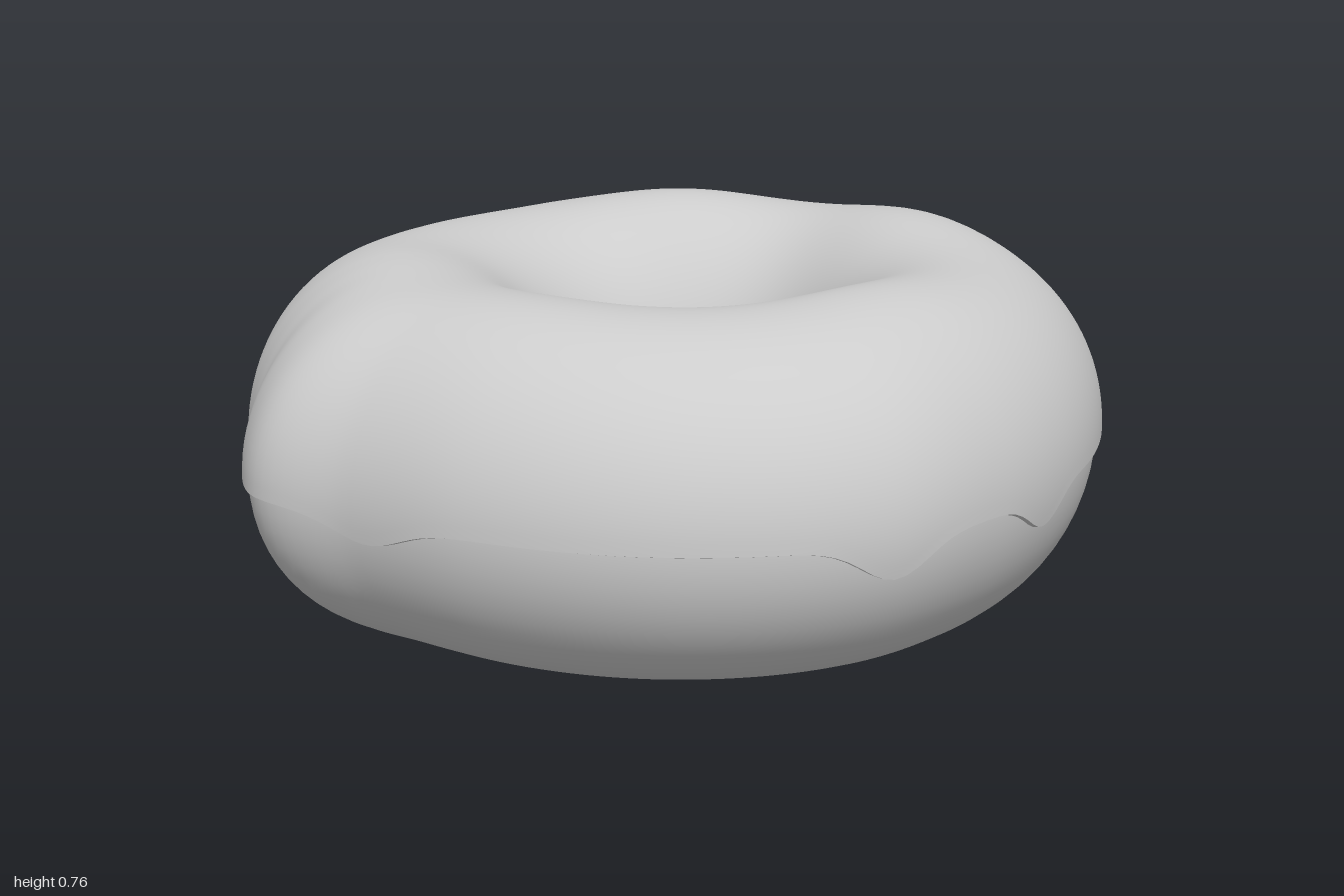
import * as THREE from 'three';

const SEG = 240;
const TAU = Math.PI * 2;
const RING = 0.585; // radius of the tube's centre line
const HALF = 0.355; // half the dough height
const LAYER = 0.012; // icing thickness

// Lumpy outlines as [degrees from +x towards +z, radius]
const OUTER = [[0, .94], [17, .97], [42, .96], [68, .94], [85, .945], [97, 1.007], [105, .98], [114, .925],
  [136, .916], [156, .92], [175, .93], [188, .94], [197, .98], [203, .986], [221, .94], [241, .93],
  [258, .955], [268, .996], [284, .966], [302, .95], [324, .922], [345, .924]];
const HOLE = [[0, .25], [27, .22], [59, .192], [90, .187], [113, .205], [135, .213], [180, .235],
  [225, .25], [270, .27], [315, .265]];

// Icing drips: [degrees, depth, width in degrees]
const DRIPS = [[18, .07, 4], [82, .05, 5], [123, .145, 3], [145, .05, 4], [200, .06, 5], [235, .05, 5],
  [268, .03, 5], [306, .06, 4.5], [351, .065, 4]];
// Swells on top of the icing: [degrees, height, width in degrees]
const SWELLS = [[0, .018, 16], [75, .012, 16], [122, .02, 16], [225, .03, 16], [284, .035, 16]];

// Smooth periodic interpolation through the outline points
function sample(points, deg) {
  const n = points.length;
  const at = (k) => {
    const wrap = Math.floor(k / n);
    const p = points[k - wrap * n];
    return [p[0] + wrap * 360, p[1]];
  };
  let i = n - 1;
  while (i > 0 && points[i][0] > deg) i--;
  const [a, b, c, d] = [at(i - 1), at(i), at(i + 1), at(i + 2)];
  const span = c[0] - b[0];
  const t = (deg - b[0]) / span;
  const m0 = (c[1] - a[1]) / (c[0] - a[0]) * span;
  const m1 = (d[1] - b[1]) / (d[0] - b[0]) * span;
  const t2 = t * t, t3 = t2 * t;
  return (2 * t3 - 3 * t2 + 1) * b[1] + (t3 - 2 * t2 + t) * m0 + (3 * t2 - 2 * t3) * c[1] + (t3 - t2) * m1;
}

// Sum of soft bumps around the ring
function bumps(list, deg) {
  return list.reduce((sum, [centre, size, width]) => {
    const d = ((deg - centre + 540) % 360) - 180;
    return sum + size * Math.exp(-0.5 * (d / width) ** 2);
  }, 0);
}

// Point on the ring: phi runs from the outside (0) over the top to the hole (PI)
function ringPoint(deg, phi, lift) {
  const c = Math.cos(phi), s = Math.sin(phi);
  const reach = c > 0 ? sample(OUTER, deg) - RING : RING - sample(HOLE, deg);
  const r = RING + (reach - LAYER + lift) * c;
  const swell = lift > 0 ? bumps(SWELLS, deg) * Math.max(0, s) ** 3 : 0;
  const y = HALF + (HALF + lift) * s + swell;
  const a = THREE.MathUtils.degToRad(deg);
  return [r * Math.cos(a), y, r * Math.sin(a)];
}

// Closed band around the ring, with rows given by a rule (deg, v) => [phi, lift]
function band(name, rows, rule, material) {
  const pos = [], index = [];
  for (let i = 0; i < SEG; i++) {
    const deg = i * 360 / SEG;
    for (let j = 0; j <= rows; j++) pos.push(...ringPoint(deg, ...rule(deg, j / rows)));
  }
  const w = rows + 1;
  for (let i = 0; i < SEG; i++) {
    for (let j = 0; j < rows; j++) {
      const a = i * w + j, b = ((i + 1) % SEG) * w + j;
      index.push(a, a + 1, b, b, a + 1, b + 1);
    }
  }
  const geo = new THREE.BufferGeometry();
  geo.setAttribute('position', new THREE.Float32BufferAttribute(pos, 3));
  geo.setIndex(index);
  geo.computeVertexNormals();
  const mesh = new THREE.Mesh(geo, material);
  mesh.name = name;
  return mesh;
}

export function createModel() {
  const group = new THREE.Group();
  group.name = 'donut';
  const grey = new THREE.MeshStandardMaterial({ color: 0xcccccc });
  grey.name = 'plain grey';

  // Icing edge: outer side drips, inner side is nearly level
  const outerEdge = (deg) => -Math.asin(bumps(DRIPS, deg) / HALF);
  const innerEdge = (deg) => Math.PI + 0.06 * Math.sin(THREE.MathUtils.degToRad(deg * 3));

  // Dough, starting and ending on the covered top so no seam shows
  group.add(band('dough', 64, (deg, v) => [Math.PI / 2 + v * TAU, 0], grey));

  // Icing shell and its two thin lips
  group.add(band('icing', 48, (deg, v) => [
    THREE.MathUtils.lerp(outerEdge(deg), innerEdge(deg), v), LAYER], grey));
  group.add(band('icingOuterLip', 1, (deg, v) => [
    outerEdge(deg) - (1 - v) * 0.012, v * LAYER], grey));
  group.add(band('icingInnerLip', 1, (deg, v) => [
    innerEdge(deg) + v * 0.012, (1 - v) * LAYER], grey));

  return group;
}
